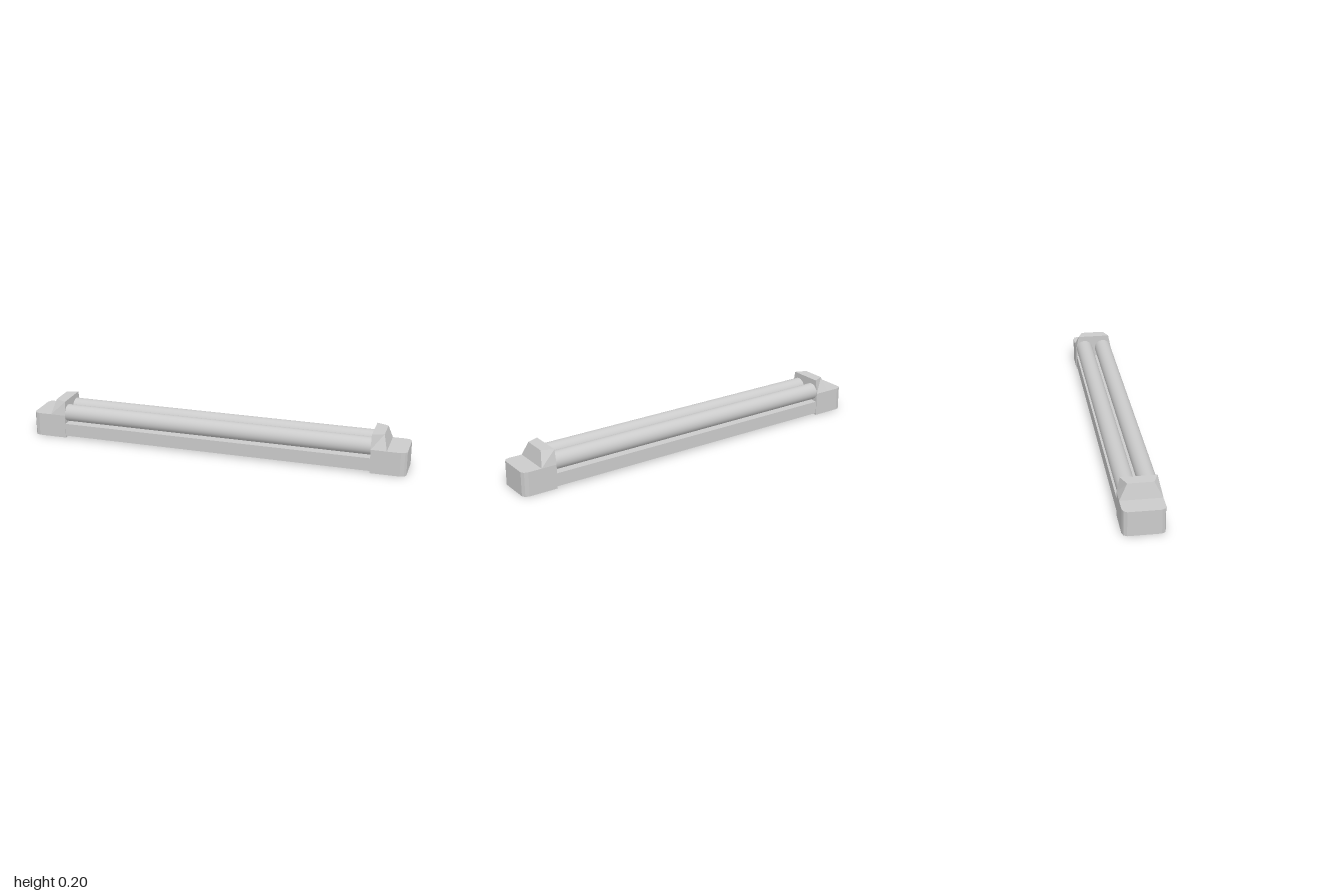
import * as THREE from 'three';

const material = new THREE.MeshStandardMaterial({ color: 0xcccccc });
const flatMaterial = new THREE.MeshStandardMaterial({ color: 0xcccccc, flatShading: true });

function addMesh(parent, name, geometry, x, y, z, mat = material) {
  const mesh = new THREE.Mesh(geometry, mat);
  mesh.name = name;
  mesh.position.set(x, y, z);
  parent.add(mesh);
  return mesh;
}

// Lower block of an end cap: plan outline with bevelled outer corners
function capBlockGeometry() {
  const plan = new THREE.Shape([
    [0.82, -0.101], [0.97, -0.101], [0.99, -0.095], [1, -0.079],
    [1, 0.079], [0.99, 0.095], [0.97, 0.101], [0.82, 0.101],
  ].map(([x, z]) => new THREE.Vector2(x, z)));
  const geometry = new THREE.ExtrudeGeometry(plan, { depth: 0.125, bevelEnabled: false });
  return geometry.rotateX(-Math.PI / 2);
}

// Upper holder: a box whose top is drawn in, most of all at its outer end
function holderGeometry() {
  const geometry = new THREE.BoxGeometry(1, 1, 1);
  const p = geometry.attributes.position;
  for (let i = 0; i < p.count; i++) {
    const outer = p.getX(i) > 0;
    const top = p.getY(i) > 0;
    const halfWidth = !top ? 0.101 : outer ? 0.062 : 0.087;
    p.setXYZ(i, !outer ? 0.82 : top ? 0.88 : 0.9, top ? 0.2 : 0.125, Math.sign(p.getZ(i)) * halfWidth);
  }
  geometry.computeVertexNormals();
  return geometry;
}

export function createModel() {
  const model = new THREE.Group();
  model.name = 'twinTubeLamp';

  // Long base tray between the caps
  addMesh(model, 'base', new THREE.BoxGeometry(1.64, 0.068, 0.196), 0, 0.044, 0);

  // Two parallel lamp tubes
  for (const side of [-1, 1]) {
    const tube = new THREE.CylinderGeometry(0.045, 0.045, 1.64, 32).rotateZ(Math.PI / 2);
    addMesh(model, side > 0 ? 'frontTube' : 'backTube', tube, 0, 0.128, side * 0.053);
  }

  // Matching end caps, the right one turned half around
  const block = capBlockGeometry();
  const holder = holderGeometry();
  for (const side of [-1, 1]) {
    const cap = new THREE.Group();
    cap.name = side > 0 ? 'leftEndCap' : 'rightEndCap';
    addMesh(cap, 'capBlock', block, 0, 0, 0, flatMaterial);
    addMesh(cap, 'tubeHolder', holder, 0, 0, 0, flatMaterial);
    if (side < 0) cap.rotation.y = Math.PI;
    model.add(cap);
  }
  return model;
}
